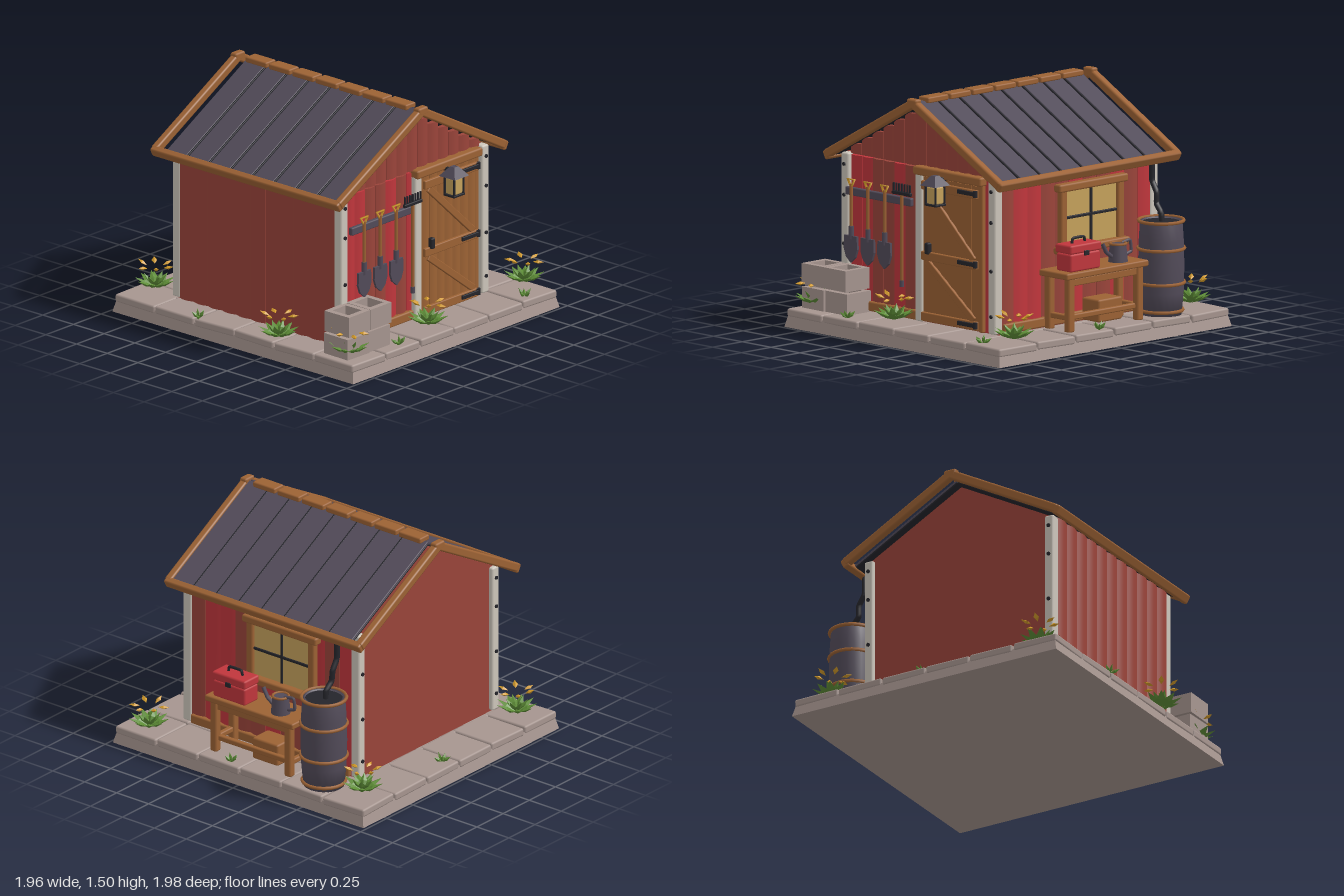
import * as THREE from 'three';
import { RoundedBoxGeometry } from 'three/addons/geometries/RoundedBoxGeometry.js';

const mat = (name, color) => Object.assign(new THREE.MeshStandardMaterial({ color }), { name });
const M = {
  stone: mat('stone', 0xa6958f), wood: mat('wood', 0x9c6234), metal: mat('dark metal', 0x524b59),
  black: mat('black iron', 0x25252b), red: mat('barn red', 0x9a443a), bright: mat('bright red', 0xc0363c),
  white: mat('pale post', 0xcdc6bb), green: mat('leaf green', 0x5d8c36), yellow: mat('yellow', 0xd29a2a),
  glass: mat('lit glass', 0xc6a25c),
};

let seed = 7;
const rnd = (a) => { seed = (seed * 16807) % 2147483647; return (seed / 2147483647 - 0.5) * 2 * a; };

function add(parent, name, material, geo, x = 0, y = 0, z = 0) {
  const m = new THREE.Mesh(geo, material);
  m.name = name;
  m.position.set(x, y, z);
  parent.add(m);
  return m;
}
const box = (p, name, m, w, h, d, x, y, z) =>
  add(p, name, m, new RoundedBoxGeometry(w, h, d, 1, Math.min(0.012, 0.25 * Math.min(w, h, d))), x, y, z);
const cyl = (p, name, m, r, h, x, y, z, sides = 12, r2 = r) =>
  add(p, name, m, new THREE.CylinderGeometry(r, r2, h, sides), x, y, z);
const tube = (p, name, m, pts, r) => add(p, name, m,
  new THREE.TubeGeometry(new THREE.CatmullRomCurve3(pts.map((q) => new THREE.Vector3(...q)), false, 'catmullrom', 0.2), 24, r, 7));
function group(parent, name, x = 0, y = 0, z = 0, ry = 0) {
  const g = new THREE.Group();
  g.name = name;
  g.position.set(x, y, z);
  g.rotation.y = ry;
  parent.add(g);
  return g;
}
const polygon = (pts) => new THREE.Shape(pts.map((q) => new THREE.Vector2(...q)));
const extrude = (shape, depth) => new THREE.ExtrudeGeometry(shape, { depth, bevelEnabled: false, curveSegments: 8 });

// Board whose face bows outward across its width
function plank(p, name, m, w, y0, y1, d, x, z, bulge = 0.014) {
  const g = new THREE.BoxGeometry(w, y1 - y0, d, 6, 1, 1);
  const a = g.attributes.position;
  for (let i = 0; i < a.count; i++) if (a.getZ(i) > 0) a.setZ(i, a.getZ(i) + bulge * Math.cos(Math.PI * a.getX(i) / w));
  g.computeVertexNormals();
  return add(p, name, m, g, x, (y0 + y1) / 2, z);
}

function beam(p, name, m, x0, y0, x1, y1, t, d, z) {
  const b = box(p, name, m, Math.hypot(x1 - x0, y1 - y0), t, d, (x0 + x1) / 2, (y0 + y1) / 2, z);
  b.rotation.z = Math.atan2(y1 - y0, x1 - x0);
  return b;
}

function leaf(p, name, m, len, wid, angle, lift, r, y) {
  const g = new THREE.OctahedronGeometry(1).scale(len / 2, 0.012, wid / 2).translate(len / 2, 0, 0);
  g.rotateZ(lift).translate(r, y, 0).rotateY(angle);
  add(p, name, m, g);
}
function plant(parent, x, z) {
  const g = group(parent, 'floweringPlant', x, 0.11, z, rnd(1));
  for (let i = 0; i < 9; i++) leaf(g, 'outerLeaf', M.green, 0.135, 0.055, i * Math.PI / 4.5, 0.45, 0.005, 0.03);
  for (let i = 0; i < 6; i++) leaf(g, 'innerLeaf', M.green, 0.105, 0.045, i * Math.PI / 3 + 0.3, 0.9, 0.005, 0.035);
  for (let i = 0; i < 6; i++) leaf(g, 'petal', M.yellow, 0.07, 0.035, i * Math.PI / 3, 0.25 + rnd(0.3), 0.055, 0.16);
}

// Stone base with a ring of pavers
function buildBase(root) {
  const g = group(root, 'stoneBase');
  const slab = new THREE.BoxGeometry(1.96, 0.08, 1.87);
  const a = slab.attributes.position;
  for (let i = 0; i < a.count; i++) if (a.getY(i) > 0) { a.setX(i, a.getX(i) * 0.98); a.setZ(i, a.getZ(i) * 0.98); }
  slab.computeVertexNormals();
  add(g, 'slab', M.stone, slab, 0, 0.04, -0.015);
  box(g, 'floor', M.stone, 1.36, 0.1, 1.34, 0, 0.06, 0.04);
  for (let i = 0; i < 6; i++) for (let j = 0; j < 6; j++) {
    if (i > 0 && i < 5 && j > 0 && j < 5) continue;
    const b = box(g, 'paver', M.stone, 0.316, 0.05, 0.302, -0.81 + i * 0.324, 0.088, -0.79 + j * 0.31);
    b.rotation.set(rnd(0.02), rnd(0.025), rnd(0.02));
  }
}

// Shed core, corner posts and planked front
function buildWalls(root) {
  const g = group(root, 'walls');
  const section = polygon([[-0.69, 0.11], [0.6, 0.11], [0.6, 1.07], [-0.05, 1.42], [-0.69, 1.07]]);
  const core = add(g, 'wallCore', M.red, extrude(section, 1.3), -0.65, 0, 0);
  core.rotation.y = Math.PI / 2;
  for (let i = 0; i < 11; i++) plank(g, 'frontPlank', M.red, 0.116, 0.12, 1.07, 0.02, -0.565 + i * 0.1165, 0.7);
  for (const x of [-0.645, 0.668]) for (const z of [0.685, -0.592]) {
    box(g, 'cornerPost', M.white, 0.066, 0.95, 0.062, x, 0.595, z);
    for (const y of [0.23, 0.51, 0.81, 1.0]) {
      const bolt = cyl(g, 'bolt', M.black, 0.012, 0.014, x + Math.sign(x) * 0.034, y, z, 8);
      bolt.rotation.z = Math.PI / 2;
    }
  }
}

function shovel(p, x) {
  const g = group(p, 'shovel', x, 0, 0.755);
  const h = add(g, 'grip', M.yellow, new THREE.TorusGeometry(0.034, 0.009, 6, 3), 0, 0.91, 0);
  h.rotation.z = -Math.PI / 2;
  cyl(g, 'shaft', M.wood, 0.011, 0.32, 0, 0.74, 0, 8);
  cyl(g, 'socket', M.metal, 0.016, 0.08, 0, 0.6, 0, 8);
  const s = polygon([[-0.055, 0.58], [0.055, 0.58], [0.058, 0.5], [0.04, 0.45], [0, 0.415], [-0.04, 0.45], [-0.058, 0.5]]);
  add(g, 'blade', M.metal, extrude(s, 0.016), 0, 0, -0.008);
}

// Right end: planks, gable, tool rack, door and lantern (local x = -z)
function buildRightEnd(root) {
  const g = group(root, 'rightEnd', 0, 0, 0, Math.PI / 2);
  const brights = [0, 1, 4, 6, 12];
  for (let i = 0; i < 13; i++) {
    const x = -0.608 + i * 0.0935;
    plank(g, 'endPlank', brights.includes(i) ? M.bright : M.red, 0.092, 0.12, 1.06, 0.02, x, 0.66);
    plank(g, 'gablePlank', M.red, 0.092, 1.07, 1.435 - 0.54 * Math.abs(x + 0.05), 0.02, x, 0.665);
  }
  box(g, 'middlePost', M.white, 0.06, 0.92, 0.05, -0.03, 0.58, 0.69);
  box(g, 'baseBoard', M.wood, 0.6, 0.06, 0.04, -0.35, 0.15, 0.68);
  // Tool rack
  box(g, 'rackBoard', M.metal, 0.57, 0.05, 0.03, -0.365, 0.845, 0.715);
  for (const x of [-0.57, -0.425, -0.28]) shovel(g, x);
  cyl(g, 'rakeShaft', M.wood, 0.01, 0.55, -0.13, 0.63, 0.755, 8);
  cyl(g, 'rakeFoot', M.metal, 0.014, 0.04, -0.13, 0.345, 0.755, 8);
  box(g, 'rakeHead', M.black, 0.16, 0.022, 0.022, -0.13, 0.9, 0.755);
  for (let i = 0; i < 7; i++) box(g, 'rakeTine', M.black, 0.011, 0.06, 0.011, -0.2 + i * 0.0235, 0.93, 0.755);
  // Door
  const d = group(g, 'door');
  for (let i = 0; i < 7; i++) plank(d, 'doorBoard', M.wood, 0.069, 0.13, 1.02, 0.03, 0.04 + i * 0.07, 0.69, 0.01);
  box(d, 'header', M.wood, 0.59, 0.055, 0.09, 0.235, 1.052, 0.69);
  box(d, 'jamb', M.wood, 0.035, 0.92, 0.06, 0.505, 0.58, 0.68);
  for (const y of [0.97, 0.535, 0.16]) {
    box(d, 'rail', M.wood, 0.48, 0.055, 0.025, 0.25, y, 0.72);
    box(d, 'hinge', M.black, 0.15, 0.026, 0.016, 0.41, y + 0.005, 0.738);
    cyl(d, 'hingePin', M.black, 0.014, 0.04, 0.487, y + 0.005, 0.735, 8);
  }
  beam(d, 'upperBrace', M.wood, 0.05, 0.94, 0.46, 0.56, 0.045, 0.022, 0.718);
  beam(d, 'lowerBrace', M.wood, 0.05, 0.5, 0.46, 0.19, 0.045, 0.022, 0.718);
  box(d, 'latch', M.black, 0.035, 0.07, 0.035, 0.07, 0.585, 0.73);
  // Lantern
  const l = group(g, 'lantern', 0.2, 0, 0.795);
  box(l, 'bracket', M.black, 0.025, 0.025, 0.1, 0, 1.03, -0.045);
  box(l, 'glass', M.glass, 0.08, 0.11, 0.075, 0, 0.94, 0);
  box(l, 'foot', M.black, 0.1, 0.014, 0.09, 0, 0.882, 0);
  for (const x of [-0.042, 0.042]) for (const z of [-0.038, 0.038]) box(l, 'bar', M.black, 0.012, 0.12, 0.012, x, 0.94, z);
  const cap = cyl(l, 'cap', M.metal, 0.025, 0.06, 0, 1.03, 0, 4, 0.092);
  cap.geometry = cap.geometry.toNonIndexed();
  cap.geometry.rotateY(Math.PI / 4).computeVertexNormals();
}

// Back: planks, window, bench and barrel (local x = -x, local z = -z)
function buildBack(root) {
  const g = group(root, 'back', 0, 0, 0, Math.PI);
  for (let i = 0; i < 11; i++)
    plank(g, 'backPlank', [1, 2, 5, 8, 10].includes(i) ? M.bright : M.red, 0.115, 0.12, 1.07, 0.02, -0.59 + i * 0.1165, 0.6);
  box(g, 'baseBoard', M.wood, 1.24, 0.06, 0.04, -0.01, 0.15, 0.62);
  const w = group(g, 'window', 0.09, 0, 0.63);
  box(w, 'pane', M.glass, 0.48, 0.38, 0.02, 0, 0.765, 0);
  for (const s of [-1, 1]) box(w, 'sideFrame', M.wood, 0.05, 0.42, 0.045, s * 0.24, 0.77, 0.01);
  box(w, 'topFrame', M.wood, 0.58, 0.05, 0.06, 0, 0.96, 0.015);
  box(w, 'sill', M.wood, 0.58, 0.045, 0.08, 0, 0.575, 0.02);
  box(w, 'mullion', M.black, 0.018, 0.38, 0.018, 0, 0.77, 0.01);
  box(w, 'crossBar', M.black, 0.45, 0.018, 0.018, 0, 0.77, 0.01);
  // Bench with its load
  const b = group(g, 'bench', 0.015, 0, 0.745);
  box(b, 'benchTop', M.wood, 0.69, 0.04, 0.25, 0, 0.46, 0);
  for (const x of [-0.29, 0.29]) {
    for (const z of [-0.085, 0.085]) box(b, 'leg', M.wood, 0.05, 0.34, 0.05, x, 0.28, z);
    box(b, 'sideRail', M.wood, 0.035, 0.035, 0.19, x, 0.2, 0);
  }
  box(b, 'frontApron', M.wood, 0.6, 0.045, 0.025, 0, 0.415, 0.085);
  box(b, 'lowRail', M.wood, 0.6, 0.035, 0.035, 0, 0.2, 0.07);
  box(b, 'crate', M.wood, 0.2, 0.14, 0.15, 0.08, 0.2, -0.01);
  box(g, 'toolbox', M.bright, 0.25, 0.11, 0.13, -0.155, 0.535, 0.785);
  box(g, 'toolboxLid', M.bright, 0.26, 0.055, 0.14, -0.155, 0.618, 0.785);
  box(g, 'toolboxLatch', M.black, 0.04, 0.03, 0.012, -0.155, 0.59, 0.857);
  tube(g, 'toolboxHandle', M.black, [[-0.21, 0.64, 0.785], [-0.2, 0.675, 0.785], [-0.11, 0.675, 0.785], [-0.1, 0.64, 0.785]], 0.009);
  cyl(g, 'wateringCan', M.metal, 0.05, 0.11, 0.19, 0.535, 0.775, 14, 0.06);
  add(g, 'canRim', M.wood, new THREE.TorusGeometry(0.05, 0.008, 6, 16).rotateX(Math.PI / 2), 0.19, 0.59, 0.775);
  tube(g, 'canSpout', M.metal, [[0.15, 0.51, 0.775], [0.09, 0.55, 0.775], [0.055, 0.61, 0.775]], 0.013);
  tube(g, 'canHandle', M.metal, [[0.23, 0.51, 0.775], [0.3, 0.53, 0.775], [0.29, 0.6, 0.775], [0.22, 0.59, 0.775]], 0.01);
  // Rain barrel and downpipe
  const r = group(g, 'rainBarrel', 0.54, 0, 0.79);
  const profile = [[0, 0.11], [0.125, 0.11], [0.138, 0.25], [0.142, 0.41], [0.138, 0.57], [0.13, 0.69], [0.115, 0.69], [0.115, 0.675], [0, 0.675]];
  add(r, 'barrel', M.metal, new THREE.LatheGeometry(profile.map((q) => new THREE.Vector2(...q)), 20));
  cyl(r, 'water', M.black, 0.116, 0.008, 0, 0.678, 0, 20);
  for (const [y, rad] of [[0.69, 0.138], [0.52, 0.142], [0.31, 0.142], [0.14, 0.132]])
    add(r, 'hoop', M.wood, new THREE.TorusGeometry(rad, 0.011, 6, 24).rotateX(Math.PI / 2), 0, y, 0);
  tube(g, 'downpipe', M.black, [[0.56, 1.04, 0.69], [0.56, 0.92, 0.69], [0.56, 0.85, 0.73], [0.555, 0.78, 0.735], [0.55, 0.73, 0.78], [0.55, 0.66, 0.785]], 0.018);
}

// Roof: metal panels, seams, ridge caps and wooden trim
function buildRoof(root) {
  const g = group(root, 'roof', 0, 1.465, 0.04);
  const pitch = Math.atan2(0.41, 0.75), len = 0.85;
  for (const side of [0, 1]) {
    const slope = group(group(g, 'roofSide', 0, 0, 0, side * Math.PI), 'slope');
    slope.rotation.x = pitch;
    const flip = side ? -1 : 1;
    box(slope, 'underlay', M.black, 1.39, 0.012, len - 0.02, 0.02 * flip, -0.016, len / 2);
    for (let i = 0; i < 8; i++) {
      const x = (-0.59 + i * 0.1765) * flip;
      const panel = box(slope, 'roofPanel', M.metal, 0.168, 0.018, len, x, 0, len / 2);
      panel.rotation.z = 0.06 * flip;
      box(slope, 'seam', M.black, 0.012, 0.02, len, x + 0.088 * flip, 0.002, len / 2);
    }
    for (const x of [-0.75, 0.74]) box(slope, 'bargeBoard', M.wood, 0.05, 0.055, len + 0.01, x * flip, 0, len / 2);
    box(slope, 'eaveBeam', M.wood, 1.53, 0.06, 0.045, -0.005 * flip, -0.004, len + 0.004);
  }
  for (let i = 0; i < 7; i++) box(g, 'ridgeCap', M.wood, 0.172, 0.036, 0.09, -0.565 + i * 0.19, 0.012, 0);
  for (const x of [-0.75, 0.74]) box(g, 'ridgeEnd', M.wood, 0.052, 0.05, 0.085, x, 0.003, 0);
}

// Hollow blocks, plants and grass tufts
function buildYard(root) {
  const g = group(root, 'yard');
  for (const y of [0.115, 0.26]) for (const z of [0.57, 0.765]) {
    const s = polygon([[-0.1, -0.095], [0.1, -0.095], [0.1, 0.095], [-0.1, 0.095]]);
    s.holes.push(polygon([[-0.065, -0.06], [-0.065, 0.06], [0.065, 0.06], [0.065, -0.06]]));
    const b = add(g, 'hollowBlock', M.stone, extrude(s, 0.13).rotateX(-Math.PI / 2), 0.785 + rnd(0.01), y, z);
    b.rotation.y = rnd(0.05);
  }
  for (const [x, z] of [[-0.82, 0.71], [0.33, 0.87], [0.85, 0.1], [0.77, -0.86], [-0.82, -0.76], [0.84, 0.8]]) plant(g, x, z);
  for (const [x, z] of [[-0.89, -0.09], [-0.3, 0.89], [0.09, -0.9], [0.9, -0.72], [0.92, 0.43]]) {
    const t = group(g, 'grassTuft', x, 0.11, z, rnd(3));
    for (let i = 0; i < 5; i++) leaf(t, 'blade', M.green, 0.065, 0.02, i * 1.257, 0.8 + rnd(0.3), 0, 0);
  }
}

export function createModel() {
  const root = new THREE.Group();
  root.name = 'gardenShed';
  for (const build of [buildBase, buildWalls, buildRightEnd, buildBack, buildRoof, buildYard]) build(root);
  return root;
}
